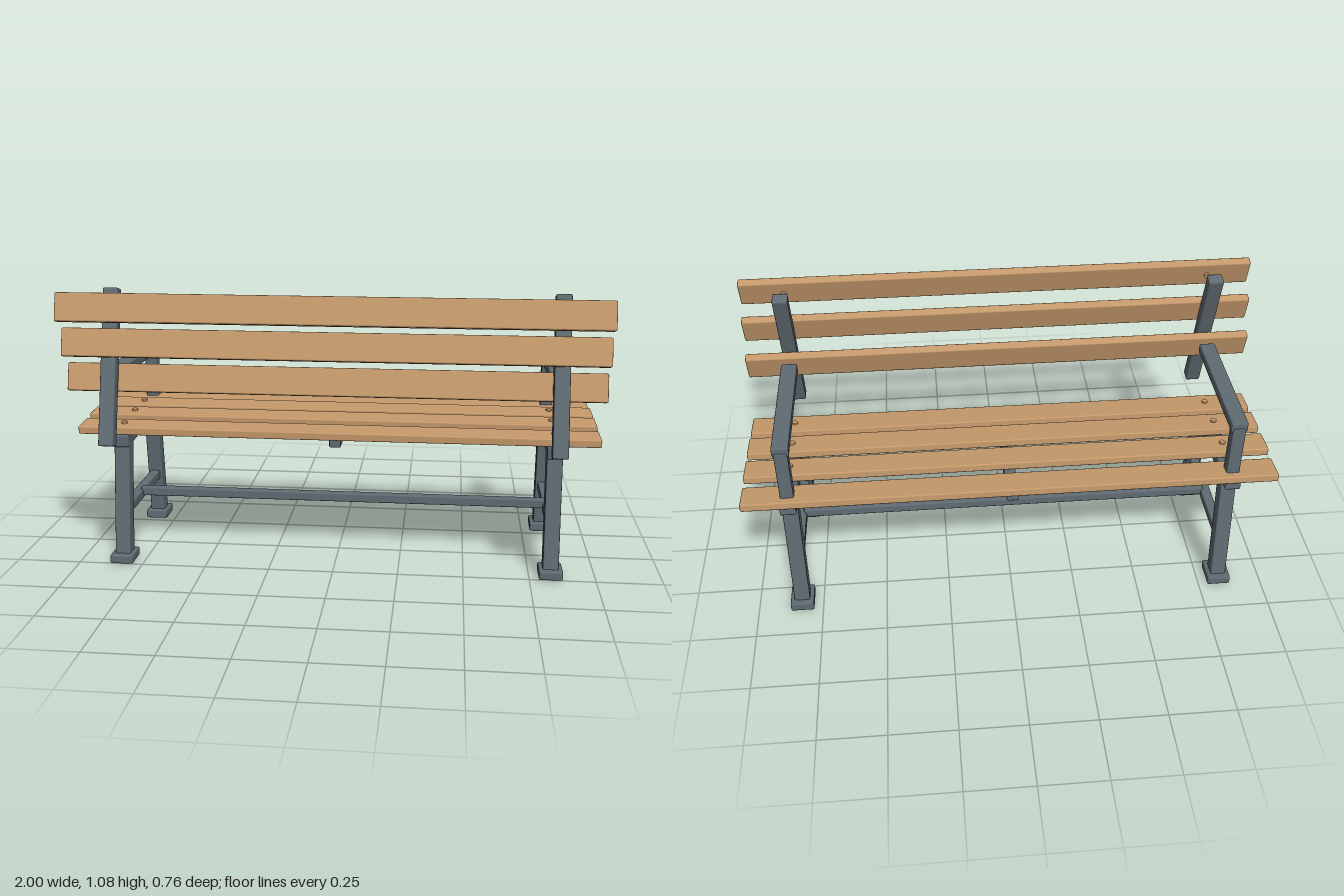
import * as THREE from 'three';
import { RoundedBoxGeometry } from 'three/addons/geometries/RoundedBoxGeometry.js';

export function createModel() {
  const bench = new THREE.Group();
  bench.name = 'bench';

  const wood = new THREE.MeshStandardMaterial({ color: 0xc69a6c });
  wood.name = 'wood';
  const metal = new THREE.MeshStandardMaterial({ color: 0x606b73 });
  metal.name = 'greyMetal';

  // Softened box centred at x, y, z and tilted about x
  function box(name, material, size, [x, y, z], tilt = 0, parent = bench) {
    const mesh = new THREE.Mesh(new RoundedBoxGeometry(...size, 1, 0.006), material);
    mesh.name = name;
    mesh.position.set(x, y, z);
    mesh.rotation.x = tilt;
    parent.add(mesh);
    return mesh;
  }

  // Sloping bar between two [y, z] points at a given x
  function bar(name, x, width, depth, [y0, z0], [y1, z1], parent) {
    const dy = y1 - y0, dz = z1 - z0;
    return box(name, metal, [width, Math.hypot(dy, dz), depth],
      [x, (y0 + y1) / 2, (z0 + z1) / 2], Math.atan2(dz, dy), parent);
  }

  // Wooden board with a pair of round bolt heads on one face
  function slat(name, size, y, z, tilt, boltAxis, boltOffset) {
    const group = new THREE.Group();
    group.name = name;
    group.position.set(0, y, z);
    group.rotation.x = tilt;
    box(name + 'Board', wood, size, [0, 0, 0], 0, group);
    if (boltAxis) {
      for (const x of [-0.83, 0.83]) {
        const bolt = new THREE.Mesh(new THREE.CylinderGeometry(0.012, 0.012, 0.02, 12), wood);
        bolt.name = 'boltHead';
        bolt.position.x = x;
        bolt.position[boltAxis] = boltOffset;
        if (boltAxis === 'z') bolt.rotation.x = Math.PI / 2;
        group.add(bolt);
      }
    }
    bench.add(group);
  }

  // Seat boards, [y, z, has bolts]
  [[0.523, 0.125, true], [0.537, -0.022, true], [0.541, -0.167, true], [0.534, -0.314, false]]
    .forEach(([y, z, bolts]) =>
      slat('seatSlat', [2, 0.032, 0.11], y, z, 0.06, bolts && 'y', 0.013));

  // Backrest boards, bolted from behind
  [[1.027, 0.339], [0.889, 0.291], [0.748, 0.242]].forEach(([y, z]) =>
    slat('backSlat', [2, 0.106, 0.036], y, z, -0.27, 'z', -0.017));

  // Matching end frames
  for (const x of [-0.83, 0.83]) {
    const frame = new THREE.Group();
    frame.name = x > 0 ? 'leftFrame' : 'rightFrame';
    bench.add(frame);
    bar('frontLeg', x, 0.06, 0.062, [0.015, 0.208], [0.515, 0.141], frame);
    bar('backLeg', x, 0.06, 0.06, [0.004, -0.33], [0.518, -0.278], frame);
    box('frontFoot', metal, [0.09, 0.034, 0.107], [x, 0.021, 0.21], 0, frame);
    box('backFoot', metal, [0.09, 0.036, 0.107], [x, 0.018, -0.327], 0, frame);
    bar('seatRail', x, 0.06, 0.048, [0.482, 0.193], [0.512, -0.363], frame);
    box('sideStretcher', metal, [0.04, 0.038, 0.45], [x, 0.199, -0.06], 0, frame);
    box('armrest', metal, [0.062, 0.04, 0.534], [x, 0.76, -0.07], 0, frame);
    box('armrestPost', metal, [0.05, 0.26, 0.05], [x, 0.628, -0.315], 0, frame);
    bar('backPost', x, 0.058, 0.048, [0.511, 0.357], [1.078, 0.195], frame);
  }

  // Long stretcher and middle seat support
  box('longStretcher', metal, [1.64, 0.036, 0.036], [0, 0.211, -0.033]);
  box('middleSupport', metal, [0.045, 0.044, 0.49], [0, 0.492, -0.09]);

  return bench;
}
